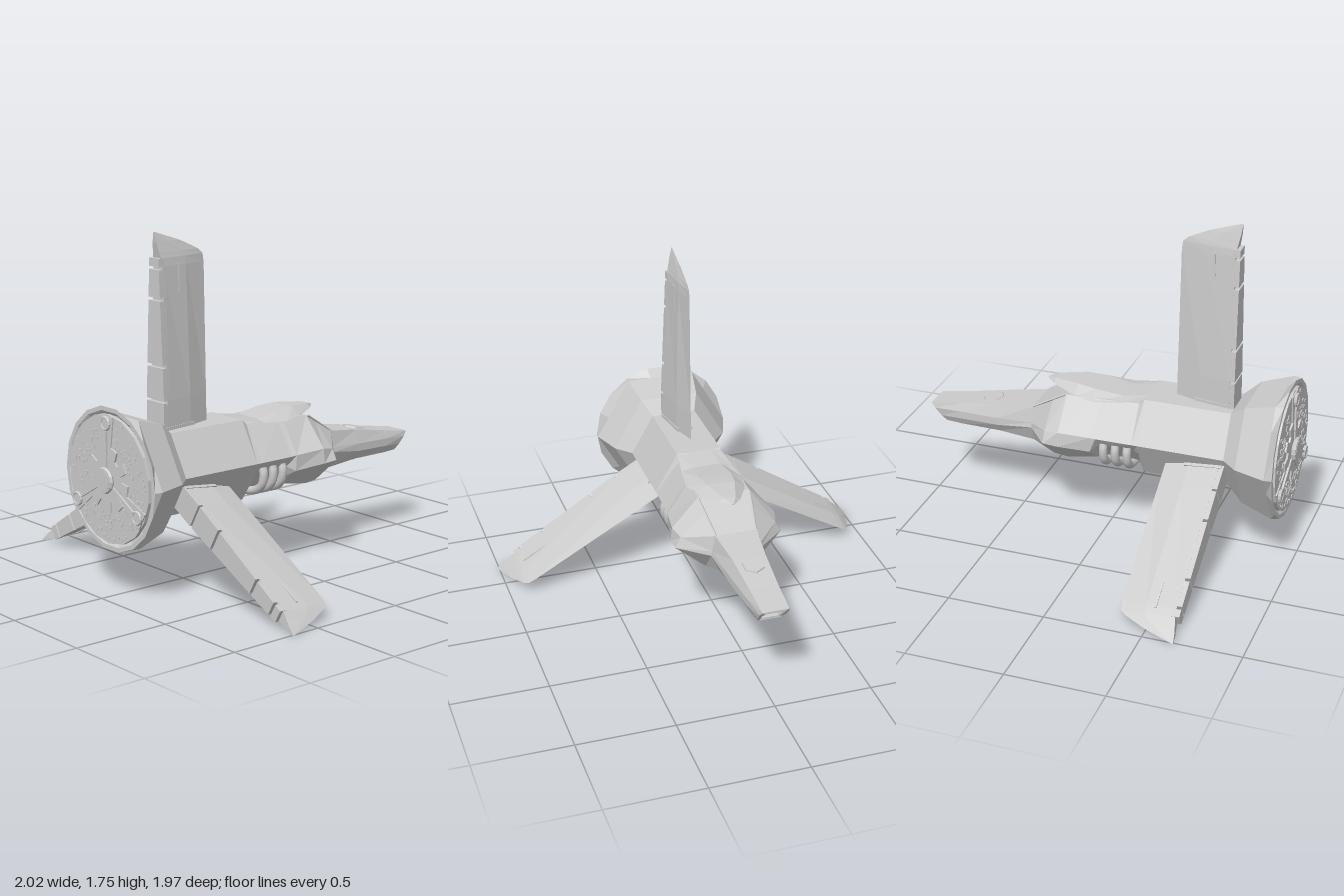
import * as THREE from 'three';
import { mergeGeometries } from 'three/addons/utils/BufferGeometryUtils.js';

const CY = 0.585; // height of the long axis
const grey = new THREE.MeshStandardMaterial({ color: 0xcccccc, flatShading: true });
const smooth = new THREE.MeshStandardMaterial({ color: 0xcccccc });
const twoSided = new THREE.MeshStandardMaterial({ color: 0xcccccc, flatShading: true, side: THREE.DoubleSide });

function add(parent, name, geometry, material = grey) {
  const mesh = new THREE.Mesh(geometry, material);
  mesh.name = name;
  parent.add(mesh);
  return mesh;
}

// Skin between rings of [x, y, z]; rings run counter-clockwise seen from the first end
function loft(rings) {
  const pos = [];
  const tri = (...p) => p.forEach((v) => pos.push(...v));
  const n = rings[0].length;
  for (let i = 0; i < rings.length - 1; i++) {
    for (let j = 0; j < n; j++) {
      const k = (j + 1) % n;
      const a = rings[i][j], b = rings[i][k], c = rings[i + 1][k], d = rings[i + 1][j];
      tri(a, d, c);
      tri(a, c, b);
    }
  }
  const last = rings[rings.length - 1];
  for (let j = 1; j < n - 1; j++) {
    tri(rings[0][0], rings[0][j], rings[0][j + 1]);
    tri(last[0], last[j + 1], last[j]);
  }
  const g = new THREE.BufferGeometry();
  g.setAttribute('position', new THREE.Float32BufferAttribute(pos, 3));
  g.computeVertexNormals();
  return g;
}

// Eight-sided hull section from its right half: bottom, lower side, upper side, top
function section(z, bottom, lower, upper, top, slant = 0) {
  const half = [bottom, lower, upper, top];
  const zAt = (y) => z - slant * (y - bottom[1]) / (top[1] - bottom[1]);
  return [...half.map(([x, y]) => [x, y, zAt(y)]),
    ...half.slice().reverse().map(([x, y]) => [-x, y, zAt(y)])];
}

function hull() {
  const nose = section(-0.91, [0.06, 0.45], [0.072, 0.48], [0.075, 0.52], [0.068, 0.545], 0.08);
  const inset = (dz, s) => nose.map(([x, y, z]) => [x * s, 0.5 + (y - 0.5) * s, z + dz]);
  return loft([
    section(0.66, [0.117, 0.38], [0.2, 0.524], [0.235, 0.585], [0.117, 0.789]),
    section(0.21, [0.117, 0.38], [0.2, 0.524], [0.235, 0.585], [0.117, 0.789]),
    section(0.18, [0.1, 0.43], [0.19, 0.53], [0.235, 0.585], [0.115, 0.762]),
    section(-0.01, [0.1, 0.43], [0.2, 0.53], [0.242, 0.588], [0.13, 0.76]),
    section(-0.04, [0.12, 0.42], [0.24, 0.51], [0.247, 0.592], [0.135, 0.76]),
    section(-0.2, [0.13, 0.397], [0.28, 0.53], [0.272, 0.605], [0.135, 0.757]),
    section(-0.28, [0.12, 0.4], [0.28, 0.535], [0.25, 0.59], [0.12, 0.712]),
    section(-0.4, [0.09, 0.44], [0.13, 0.53], [0.125, 0.555], [0.108, 0.64]),
    section(-0.6, [0.08, 0.453], [0.11, 0.5], [0.11, 0.54], [0.085, 0.612]),
    section(-0.82, [0.07, 0.45], [0.09, 0.49], [0.09, 0.53], [0.073, 0.572]),
    nose, inset(0, 0.75), inset(0.05, 0.65),
  ]);
}

// Ring of the rear bell, either round or hexagonal
function bellRing(z, r, hex) {
  return Array.from({ length: 18 }, (_, i) => {
    const deg = i * 20;
    const k = hex ? Math.cos(Math.PI / 6) / Math.cos(((deg % 60) - 30) * Math.PI / 180) : 1;
    const a = deg * Math.PI / 180;
    return [r * k * Math.cos(a), CY + r * k * Math.sin(a), z];
  });
}

// Wedge section of a wing at distance r from the axis
const blade = (r, lead, trail, t) => [[0, r, lead], [0.6 * t, r, lead + 0.45 * (trail - lead)],
  [t, r, trail], [-t, r, trail], [-0.6 * t, r, lead + 0.45 * (trail - lead)]];
const thickness = (r) => 0.066 - 0.031 * Math.max(0, (r - 0.35) / 0.68);

function makeWing() {
  const wing = new THREE.Group();
  wing.name = 'wing';
  add(wing, 'wingBlade', loft([
    blade(0.12, 0.342, 0.635, 0.066), blade(0.35, 0.345, 0.635, 0.065), blade(1.0, 0.355, 0.635, 0.036),
    blade(1.04, 0.362, 0.64, 0.032), blade(1.065, 0.39, 0.645, 0.026),
    blade(1.115, 0.5, 0.655, 0.014), blade(1.165, 0.652, 0.66, 0.001)]));
  // Trailing edge flaps, separated by narrow slots
  for (const [r0, r1] of [[0.15, 0.34], [0.352, 0.51], [0.525, 0.835], [0.85, 0.985], [1.0, 1.04]]) {
    add(wing, 'flap', loft([r0, r1].map((r) => {
      const t = thickness(r);
      return [[t * 0.95, r, 0.62], [t * 1.03, r, 0.66], [-t * 1.03, r, 0.66], [-t * 0.95, r, 0.62]];
    })));
  }
  for (const s of [-1, 1]) {
    const panel = add(wing, 'wingPanel', new THREE.BoxGeometry(0.006, 0.14, 0.012));
    panel.position.set(s * 0.03, 0.94, 0.53);
    const root = add(wing, 'rootFairing', new THREE.BoxGeometry(0.012, 0.03, 0.2));
    root.position.set(s * 0.05, 0.205, 0.55);
    root.rotation.y = s * 0.15;
  }
  return wing;
}

// Thin arched canopy roof with a pointed beak over the windscreen
function canopy() {
  const stations = [[0.21, 0.115, 0.785, 0.789], [0.08, 0.135, 0.757, 0.77], [-0.06, 0.155, 0.75, 0.788],
    [-0.16, 0.13, 0.755, 0.797], [-0.3, 0.055, 0.768, 0.788], [-0.35, 0.008, 0.772, 0.776]];
  return loft(stations.map(([z, w, low, high]) => [[-0.5 * w, low + 0.001, z], [0.5 * w, low + 0.001, z],
    [w, low, z], [0.55 * w, high, z], [-0.55 * w, high, z], [-w, low, z]]));
}

// Drive plate with spokes, nozzles, a toothed hub and small surface blocks
function makeDrive() {
  const drive = new THREE.Group();
  drive.name = 'drive';
  drive.position.set(0, CY, 0.94);
  const place = (name, geo, a, r, z) => {
    const m = add(drive, name, geo);
    m.position.set(r * Math.cos(a), r * Math.sin(a), z);
    m.rotation.z = a;
    return m;
  };
  const disc = add(drive, 'drivePlate', new THREE.CylinderGeometry(0.318, 0.318, 0.03, 18));
  disc.rotation.x = Math.PI / 2;
  disc.position.z = -0.008;
  const barrel = (r, h) => new THREE.CylinderGeometry(r, r, h, 12).rotateX(Math.PI / 2);
  for (let i = 0; i < 3; i++) {
    const a = Math.PI / 2 + i * Math.PI * 2 / 3;
    const spoke = new THREE.Shape([[0.05, -0.012], [0.31, -0.05], [0.31, 0.05], [0.05, 0.012]]
      .map(([x, y]) => new THREE.Vector2(x, y)));
    place('spoke', new THREE.ExtrudeGeometry(spoke, { depth: 0.014, bevelEnabled: false }), a, 0, 0);
    place('spokeRail', new THREE.BoxGeometry(0.18, 0.012, 0.012), a, 0.15, 0.018);
    place('nozzle', barrel(0.034, 0.022), a, 0.277, 0.014);
    place('nozzleRing', new THREE.TorusGeometry(0.03, 0.007, 6, 12), a, 0.277, 0.022);
  }
  place('hubPlate', barrel(0.115, 0.014), 0, 0, 0.01);
  for (let i = 0; i < 9; i++) {
    place('hubTooth', new THREE.BoxGeometry(0.06, 0.05, 0.014), Math.PI / 6 + i * Math.PI * 2 / 9, 0.132, 0.01);
  }
  place('hub', barrel(0.05, 0.04), 0, 0, 0.022);
  place('hubRing', new THREE.TorusGeometry(0.054, 0.012, 6, 14), 0, 0, 0.03);
  let seed = 7;
  const rand = () => (seed = (seed * 16807) % 2147483647) / 2147483647;
  const blocks = Array.from({ length: 160 }, () => {
    const a = rand() * Math.PI * 2, r = 0.17 + 0.13 * rand();
    return new THREE.BoxGeometry(0.008 + 0.016 * rand(), 0.008 + 0.008 * rand(), 0.008)
      .translate(r * Math.cos(a), r * Math.sin(a), 0.008);
  });
  add(drive, 'surfaceBlocks', mergeGeometries(blocks));
  return drive;
}

export function createModel() {
  const model = new THREE.Group();
  model.name = 'spacecraft';
  add(model, 'hull', hull(), twoSided);
  add(model, 'rearBell', loft([bellRing(0.928, 0.32), bellRing(0.94, 0.335), bellRing(0.94, 0.357),
    bellRing(0.9, 0.362, true), bellRing(0.74, 0.308, true), bellRing(0.66, 0.235, true)]));
  add(model, 'canopy', canopy(), twoSided);
  model.add(makeDrive());

  // Three wings around the axis
  for (let i = 0; i < 3; i++) {
    const wing = makeWing();
    wing.position.y = CY;
    wing.rotation.z = i * Math.PI * 2 / 3;
    model.add(wing);
  }

  // Pipes wrapped under the waist
  for (const z of [0.148, 0.085, 0.022]) {
    const half = [[0.2, 0.55], [0.21, 0.52], [0.195, 0.46], [0.13, 0.42]];
    const path = [...half, ...half.slice().reverse().map(([x, y]) => [-x, y])]
      .map(([x, y]) => new THREE.Vector3(x, y, z));
    add(model, 'waistPipe', new THREE.TubeGeometry(new THREE.CatmullRomCurve3(path), 32, 0.022, 10), smooth);
  }

  // Windscreen frame, nose hatch, belly fairing and chin gun
  for (const s of [-1, 1]) {
    const bar = new THREE.LineCurve3(new THREE.Vector3(s * 0.135, 0.755, -0.21), new THREE.Vector3(s * 0.105, 0.64, -0.4));
    add(model, 'windscreenFrame', new THREE.TubeGeometry(bar, 1, 0.006, 4));
  }
  const hatch = add(model, 'noseHatch', new THREE.CylinderGeometry(0.055, 0.06, 0.012, 6));
  hatch.position.set(0, 0.603, -0.66);
  hatch.rotation.x = -0.18;
  add(model, 'bellyFairing', new THREE.BoxGeometry(0.16, 0.02, 0.14)).position.set(0, 0.377, 0.28);
  add(model, 'gunMount', new THREE.SphereGeometry(0.025, 8, 6), smooth).position.set(0, 0.4, -0.31);
  const gun = add(model, 'gunBarrel', new THREE.CylinderGeometry(0.008, 0.008, 0.08, 8), smooth);
  gun.rotation.x = Math.PI / 2;
  gun.position.set(0, 0.388, -0.33);
  return model;
}
